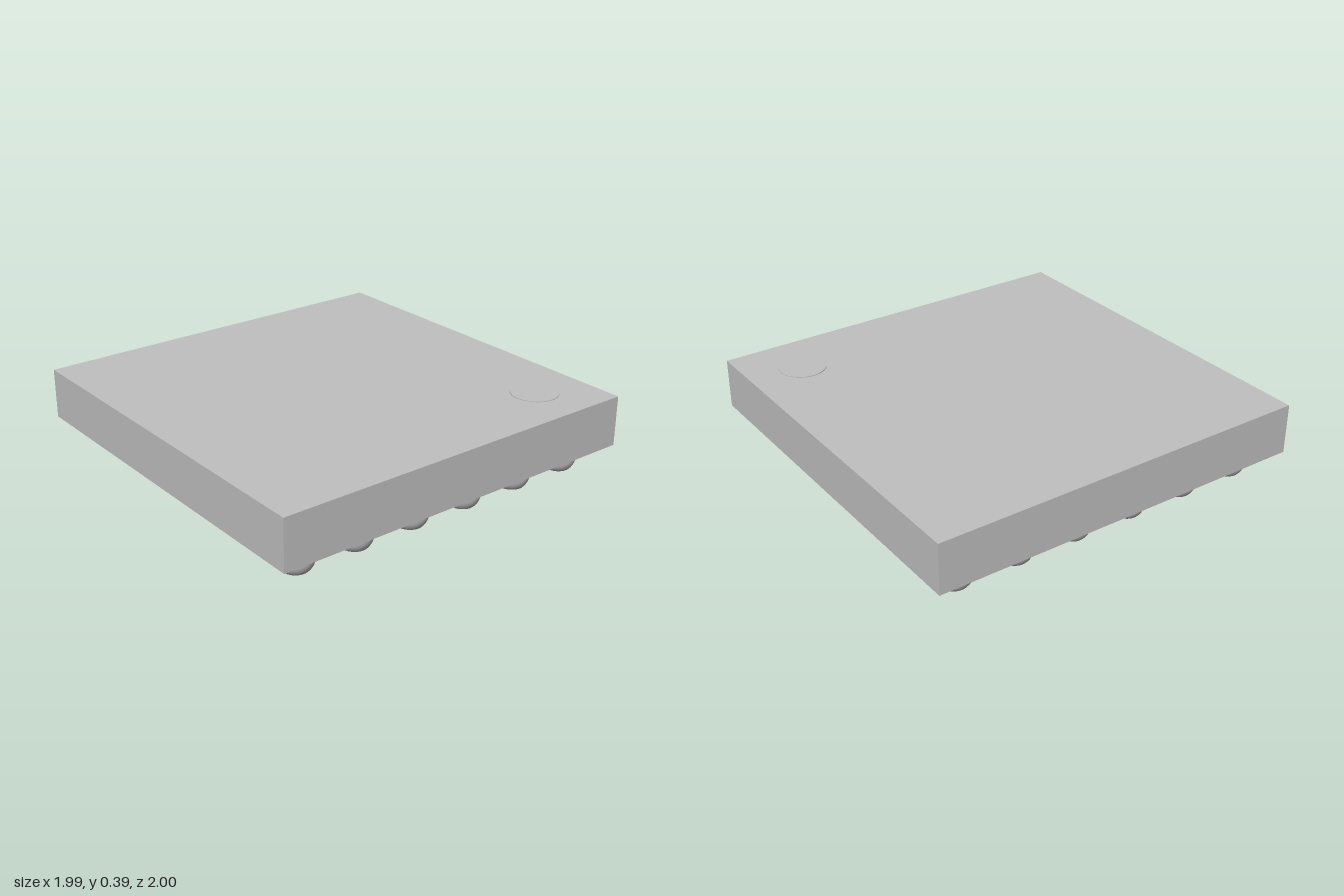
import * as THREE from 'three';

const BOTTOM = 0.128, TOP = 0.387;
const WIDTH = 1.986, DEPTH = 2;
const PITCH = 0.323, HALF = 2.5;
const BALL_R = 0.09, BALL_H = BOTTOM;

// Ball layout: one string per row from back to front, columns from -x to +x
const ROWS = [
  'ooo..o',
  'oo...o',
  'o.oooo',
  'oooooo',
  'oo.o.o',
  'oo.ooo',
];

// Sphere with flat top and bottom caps; separate profile pieces keep the rims sharp
function ballGeometries() {
  const a = Math.asin(BALL_H / 2 / BALL_R);
  const side = [];
  for (let i = 0; i <= 16; i++) {
    const t = -a + (2 * a * i) / 16;
    side.push(new THREE.Vector2(BALL_R * Math.cos(t), BALL_H / 2 + BALL_R * Math.sin(t)));
  }
  const cap = new THREE.CircleGeometry(BALL_R * Math.cos(a), 40).rotateX(Math.PI / 2);
  return [new THREE.LatheGeometry(side, 40), cap];
}

export function createModel() {
  const model = new THREE.Group();
  model.name = 'chipPackage';
  const grey = new THREE.MeshStandardMaterial({ color: 0xc0c0c0 });
  grey.name = 'silver grey';

  // Flat square body
  const body = new THREE.Mesh(new THREE.BoxGeometry(WIDTH, TOP - BOTTOM, DEPTH), grey);
  body.name = 'body';
  body.position.y = (TOP + BOTTOM) / 2;
  model.add(body);

  // Thin round orientation mark at the back corner
  const mark = new THREE.Mesh(new THREE.CylinderGeometry(0.12, 0.12, 0.006, 48), grey);
  mark.name = 'cornerMark';
  mark.position.set(0.71, TOP + 0.001, -0.715);
  model.add(mark);

  // Solder balls beneath the body
  const [side, cap] = ballGeometries();
  const balls = new THREE.Group();
  balls.name = 'solderBalls';
  const addBall = (col, row) => {
    const ball = new THREE.Group();
    ball.name = 'solderBall';
    const sphere = new THREE.Mesh(side, grey);
    sphere.name = 'ballSide';
    const flat = new THREE.Mesh(cap, grey);
    flat.name = 'ballFlat';
    ball.add(sphere, flat);
    ball.position.set((col - HALF) * PITCH, 0, (row - HALF) * PITCH);
    balls.add(ball);
  };
  ROWS.forEach((line, row) => [...line].forEach((c, col) => c === 'o' && addBall(col, row)));

  // Single ball set half a step off the grid in the back row
  addBall(3.5, 0);
  model.add(balls);
  return model;
}
